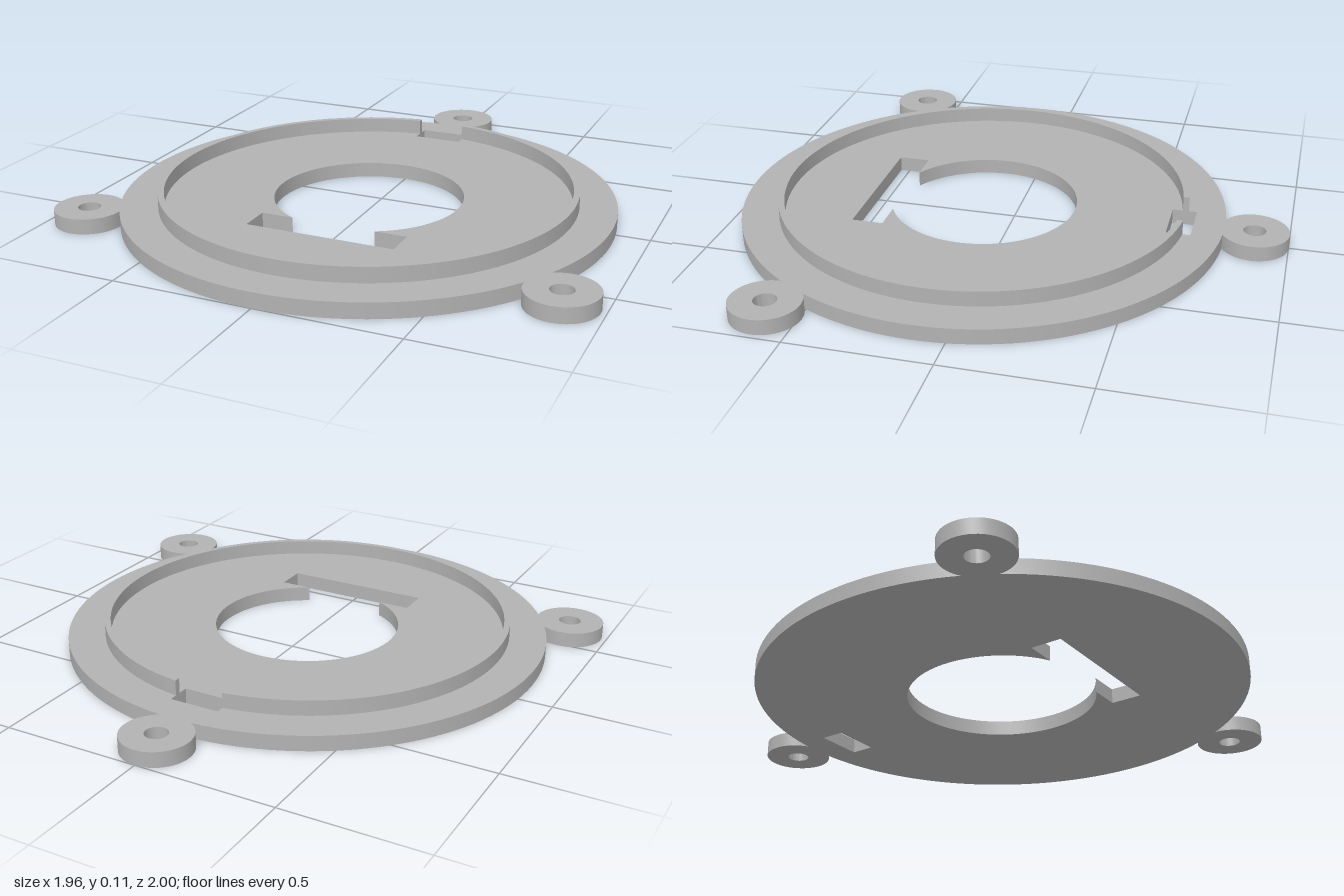
import * as THREE from 'three';
import { toCreasedNormals } from 'three/addons/utils/BufferGeometryUtils.js';

const CENTER_Z = 0.114;
const PLATE_R = 0.886, PLATE_H = 0.055;
const EAR_DIST = 0.992, EAR_R = 0.123, SCREW_R = 0.04;
const RING_OUT = 0.752, RING_IN = 0.73, RING_H = 0.055;
const BORE_R = 0.342;
const NOTCH_X = 0.091, NOTCH_LOW = 0.688, NOTCH_HIGH = 0.776;
const SLOT_X = 0.272, SLOT_TOP = -0.305, SLOT_BOTTOM = -0.419;

// Points along an arc, both ends included
function arc(cx, cy, r, from, to, n) {
  return Array.from({ length: n + 1 }, (_, i) => {
    const a = from + (to - from) * i / n;
    return new THREE.Vector2(cx + r * Math.cos(a), cy + r * Math.sin(a));
  });
}

const circle = (cx, cy, r, n) => new THREE.Path(arc(cx, cy, r, 0, Math.PI * 2, n).slice(0, -1));

// Extrude a plan shape upwards, with plan y pointing to the back
function slab(name, shape, height, y, material) {
  const geometry = new THREE.ExtrudeGeometry(shape, { depth: height, bevelEnabled: false });
  geometry.rotateX(-Math.PI / 2);
  const mesh = new THREE.Mesh(toCreasedNormals(geometry, 0.5), material);
  mesh.name = name;
  mesh.position.set(0, y, CENTER_Z);
  return mesh;
}

function plateShape() {
  // Half angles where an ear meets the disc, seen from disc and ear centres
  const a = Math.acos((EAR_DIST ** 2 + PLATE_R ** 2 - EAR_R ** 2) / (2 * EAR_DIST * PLATE_R));
  const b = Math.acos((EAR_DIST ** 2 + EAR_R ** 2 - PLATE_R ** 2) / (2 * EAR_DIST * EAR_R));
  const third = Math.PI * 2 / 3;
  const outline = [], holes = [];
  for (let i = 0; i < 3; i++) {
    const t = Math.PI / 2 + i * third;
    const x = EAR_DIST * Math.cos(t), y = EAR_DIST * Math.sin(t);
    outline.push(...arc(x, y, EAR_R, t - Math.PI + b, t + Math.PI - b, 40).slice(0, -1));
    outline.push(...arc(0, 0, PLATE_R, t + a, t + third - a, 48).slice(0, -1));
    holes.push(circle(x, y, SCREW_R, 32));
  }
  const shape = new THREE.Shape(outline);

  // Round bore opening into a wide slot at the front
  const s = Math.asin(SLOT_TOP / BORE_R);
  const bore = arc(0, 0, BORE_R, s, Math.PI - s, 80);
  bore.push(
    new THREE.Vector2(-SLOT_X, SLOT_TOP), new THREE.Vector2(-SLOT_X, SLOT_BOTTOM),
    new THREE.Vector2(SLOT_X, SLOT_BOTTOM), new THREE.Vector2(SLOT_X, SLOT_TOP));

  // Rectangular notch at the back
  const notch = [[-1, NOTCH_LOW], [1, NOTCH_LOW], [1, NOTCH_HIGH], [-1, NOTCH_HIGH]]
    .map(([side, y]) => new THREE.Vector2(side * NOTCH_X, y));

  shape.holes.push(...holes, new THREE.Path(bore), new THREE.Path(notch));
  return shape;
}

// Thin rim, open above the notch
function rimShape() {
  const end = r => Math.asin(NOTCH_X / r);
  const q = Math.PI / 2, full = Math.PI * 2;
  return new THREE.Shape([
    ...arc(0, 0, RING_OUT, q + end(RING_OUT), q + full - end(RING_OUT), 128),
    ...arc(0, 0, RING_IN, q + full - end(RING_IN), q + end(RING_IN), 128),
  ]);
}

export function createModel() {
  const gray = new THREE.MeshStandardMaterial({ color: 0xb2b2b2 });
  gray.name = 'gray';
  const model = new THREE.Group();
  model.name = 'mountingPlate';
  model.add(
    slab('basePlate', plateShape(), PLATE_H, 0, gray),
    slab('raisedRim', rimShape(), RING_H, PLATE_H, gray));
  return model;
}
